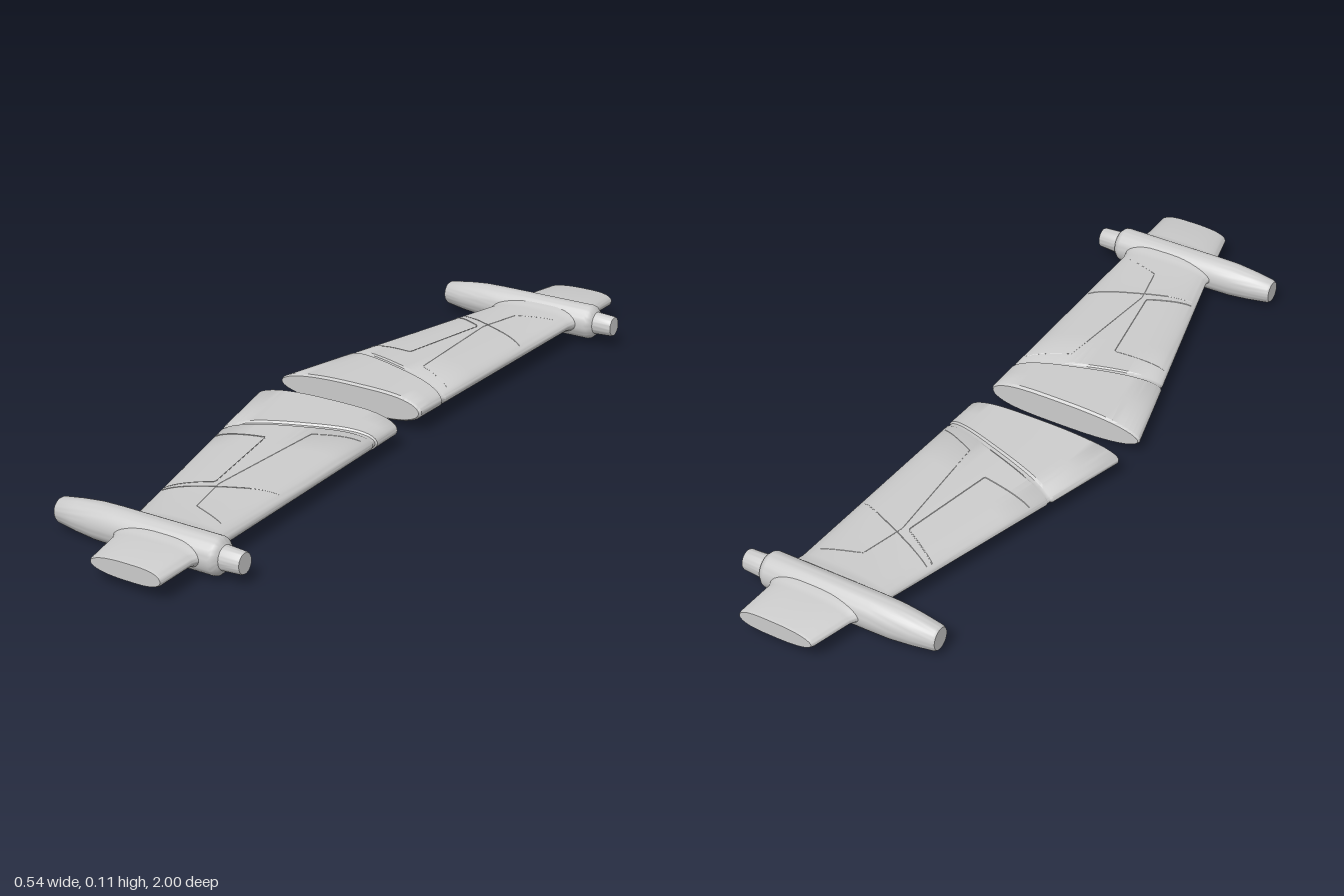
import * as THREE from 'three';
import { toCreasedNormals } from 'three/addons/utils/BufferGeometryUtils.js';

const { lerp, mapLinear } = THREE.MathUtils;
const TILT = 0.022, BASE_Y = 0.049, POD_Z = 0.83;
const material = new THREE.MeshStandardMaterial({ color: 0xcccccc });

// Planform edges, half thickness and section shape of one wing running along +z
const sweptEdge = z => -0.282 + 0.262 * Math.min(z, 0.8) + 0.24 * Math.max(z - 0.8, 0);
const straightEdge = z => 0.153 + 0.022 * z;
const halfThickness = z => mapLinear(z, 0.045, 1, 0.0375, 0.0235);
const midHeight = x => BASE_Y + TILT * x;

function section(s) {
  const k = s < 0.55 ? Math.pow(1 - s / 0.55, 2.6) : Math.pow((s - 0.55) / 0.45, 3.5);
  return Math.sqrt(Math.max(0, 1 - k));
}

function surfaceHeight(x, z) {
  const s = (x - sweptEdge(z)) / (straightEdge(z) - sweptEdge(z));
  return halfThickness(z) * section(THREE.MathUtils.clamp(s, 0, 1));
}

// Rows: z at swept edge, z at straight edge, thickness factor, chord padding
const rows = [
  [0.045, 0.045, 0.9, -0.004],
  [0.052, 0.052, 1.04, 0.001],
  [0.16, 0.1, 1.04, 0.001],
  [0.268, 0.142, 1.05, 0.001],
  [0.273, 0.147, 0.9, -0.003],
  [0.283, 0.157, 0.9, -0.003],
  [0.288, 0.162, 1, 0],
  [0.42, 0.3, 1, 0],
  [0.55, 0.44, 1, 0],
  [0.65, 0.56, 1, 0],
  [0.77, 0.76, 1, 0],
  [0.785, 0.785, 1.08, 0.005],
  [0.8, 0.8, 1.3, 0.016],
  [0.86, 0.86, 1.3, 0.016],
  [0.875, 0.875, 1.08, 0.005],
  [0.89, 0.89, 1, 0],
  [0.993, 0.993, 1, 0],
  [1, 1, 0.9, -0.003],
];

// Loft of closed sections with capped ends
function wingGeometry() {
  const n = 56, pos = [], idx = [];
  for (const [zS, zT, factor, pad] of rows) {
    for (let j = 0; j < n; j++) {
      const t = (j / n) * Math.PI * 2;
      const s = (1 - Math.cos(t)) / 2;
      const x = lerp(sweptEdge(zS), straightEdge(zT), s);
      const z = lerp(zS, zT, s);
      const h = j % (n / 2) === 0 ? 0 : surfaceHeight(x, z) * factor * Math.sign(Math.sin(t));
      pos.push(x + pad * (2 * s - 1), midHeight(x) + h, z);
    }
  }
  for (let i = 0; i < rows.length - 1; i++) {
    for (let j = 0; j < n; j++) {
      const a = i * n + j, b = i * n + (j + 1) % n;
      idx.push(a, a + n, b, b, a + n, b + n);
    }
  }
  const last = (rows.length - 1) * n, root = pos.length / 3, tip = root + 1;
  for (const z of [rows[0][0], 1]) {
    const x = (sweptEdge(z) + straightEdge(z)) / 2;
    pos.push(x, midHeight(x), z);
  }
  for (let j = 0; j < n; j++) {
    const k = (j + 1) % n;
    idx.push(root, j, k, tip, last + k, last + j);
  }
  const g = new THREE.BufferGeometry();
  g.setAttribute('position', new THREE.Float32BufferAttribute(pos, 3));
  g.setIndex(idx);
  return g;
}

// Turned pod with a tapered nose, a collar and a stub pipe
function podGeometry() {
  const profile = [
    [0, -0.25], [0.028, -0.25], [0.032, -0.244], [0.04, -0.19], [0.0455, -0.135],
    [0.0465, -0.08], [0.0465, 0.2], [0.0445, 0.207], [0.036, 0.216], [0.03, 0.219],
    [0.027, 0.268], [0.025, 0.272], [0, 0.272],
  ].map(p => new THREE.Vector2(...p));
  return new THREE.LatheGeometry(profile, 40)
    .rotateZ(-Math.PI / 2 + TILT)
    .scale(1, 1, 0.94)
    .translate(0, BASE_Y, POD_Z);
}

// Fine panel joints following the wing skin, as [x, z] corners
const joints = {
  flapPanelSeam: { r: 0.0014, pts: [[-0.185, 0.335], [-0.05, 0.315], [-0.002, 0.575], [-0.105, 0.635]] },
  crossSeam: { r: 0.001, pts: [[-0.1, 0.65], [0.03, 0.59], [0.15, 0.535]] },
  accessPanelSeam: { r: 0.0007, pts: [[0.14, 0.19], [0.035, 0.245], [0.012, 0.58], [0.04, 0.7], [0.135, 0.735]] },
};

function seamGeometry({ r, pts }, side) {
  const path = new THREE.CurvePath();
  const samples = [];
  for (let i = 0; i < pts.length - 1; i++) {
    for (let k = i ? 1 : 0; k <= 10; k++) {
      const x = lerp(pts[i][0], pts[i + 1][0], k / 10);
      const z = lerp(pts[i][1], pts[i + 1][1], k / 10);
      samples.push(new THREE.Vector3(x, midHeight(x) + side * surfaceHeight(x, z), z));
    }
  }
  for (let i = 1; i < samples.length; i++) path.add(new THREE.LineCurve3(samples[i - 1], samples[i]));
  return new THREE.TubeGeometry(path, 80, r, 5);
}

// Flip to the -z side, keeping faces outward
function mirror(g) {
  g.scale(1, 1, -0.994).translate(0, 0.006, -0.006);
  const ix = g.index.array;
  for (let i = 0; i < ix.length; i += 3) [ix[i], ix[i + 1]] = [ix[i + 1], ix[i]];
  return g;
}

function buildWing(name, mirrored) {
  const group = new THREE.Group();
  group.name = name;
  const add = (part, geometry) => {
    const g = toCreasedNormals(mirrored ? mirror(geometry) : geometry, 0.6);
    const mesh = new THREE.Mesh(g, material);
    mesh.name = part;
    group.add(mesh);
  };
  add('wingPanel', wingGeometry());
  add('wingPod', podGeometry());
  for (const [part, joint] of Object.entries(joints)) {
    add(part + 'Top', seamGeometry(joint, 1));
    add(part + 'Bottom', seamGeometry(joint, -1));
  }
  return group;
}

export function createModel() {
  const model = new THREE.Group();
  model.name = 'wingPair';
  model.add(buildWing('frontWing', false), buildWing('rearWing', true));
  return model;
}
